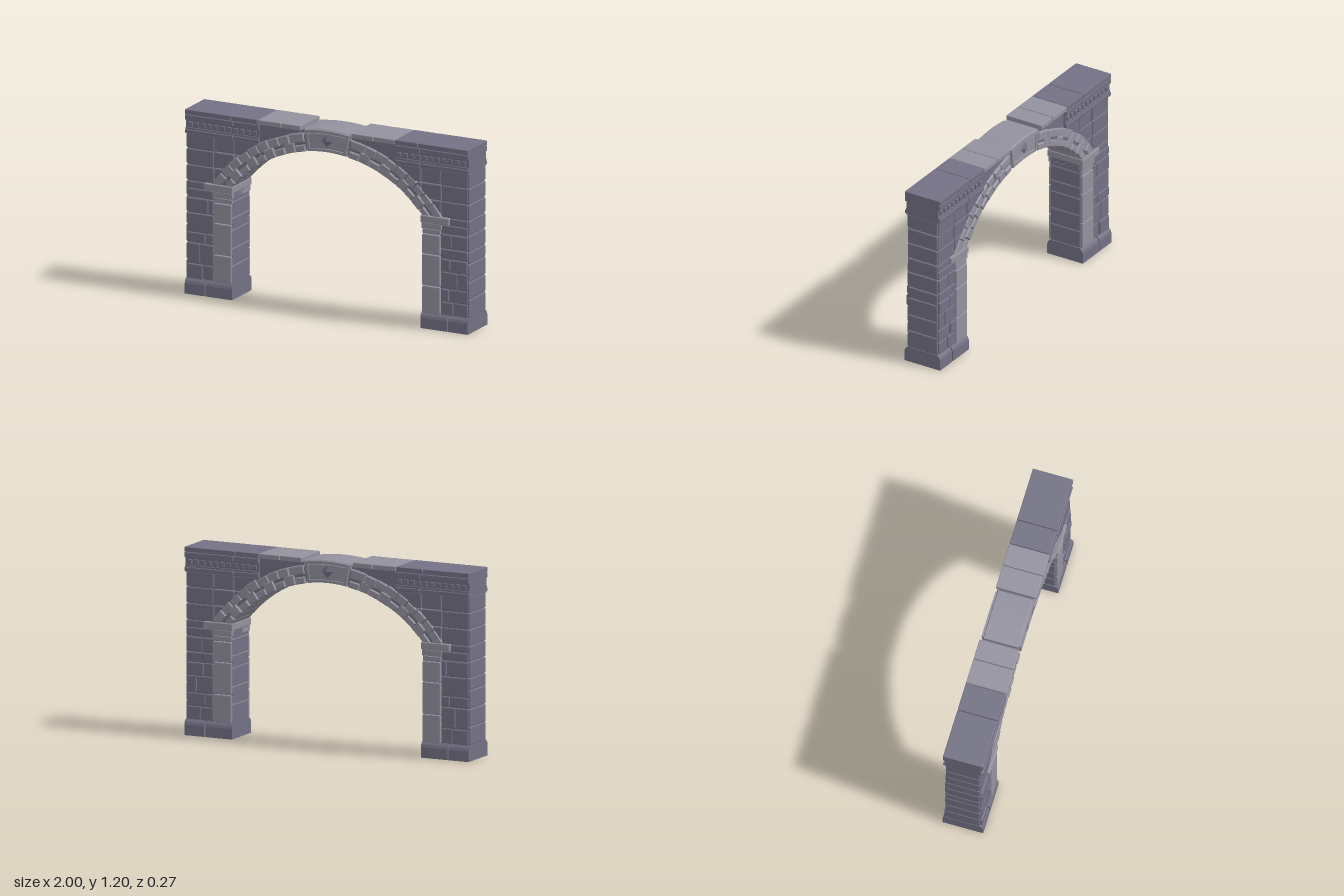
import * as THREE from 'three';
import { RoundedBoxGeometry } from 'three/addons/geometries/RoundedBoxGeometry.js';

const dark = new THREE.MeshStandardMaterial({ color: 0x737184, flatShading: true });
const light = new THREE.MeshStandardMaterial({ color: 0x93919e, flatShading: true });

// Arch circle: centre height, inner and outer radius, springing height
const CY = 0.18, RI = 0.87, RO = 0.985, SPRING = 0.735;

// Repeatable small variation
let seed = 7;
const vary = (a) => {
  seed = (seed * 16807) % 2147483647;
  return (seed / 2147483647 - 0.5) * 2 * a;
};

function add(parent, name, geometry, material) {
  const mesh = new THREE.Mesh(geometry, material);
  mesh.name = name;
  parent.add(mesh);
  return mesh;
}

// Chamfered block between two x and two y values, centred on z = 0
function block(parent, name, x0, x1, y0, y1, halfZ, material, bevel = 0.006) {
  const g = new RoundedBoxGeometry(Math.abs(x1 - x0), y1 - y0, halfZ * 2, 1, bevel);
  g.translate((x0 + x1) / 2, (y0 + y1) / 2, 0);
  return add(parent, name, g, material);
}

// Shape extruded along z, centred on z = 0, with chamfered faces
function slab(parent, name, shape, halfZ, material, bevel = 0.006) {
  const g = new THREE.ExtrudeGeometry(shape, {
    depth: 2 * (halfZ - bevel), bevelEnabled: bevel > 0, bevelSize: bevel,
    bevelOffset: -bevel, bevelThickness: bevel, bevelSegments: 1,
  });
  g.translate(0, 0, -(halfZ - bevel));
  return add(parent, name, g, material);
}

// Ring segment; angles run from vertical and stop at the springing line
function wedge(a0, a1, r0, r1, s = 1, steps = 3) {
  const pts = [];
  const arc = (r, from, to) => {
    const limit = Math.acos((SPRING - CY) / r);
    const f = Math.min(from, limit), t = Math.min(to, limit);
    for (let i = 0; i <= steps; i++) {
      const a = f + (t - f) * i / steps;
      pts.push(new THREE.Vector2(s * r * Math.sin(a), CY + r * Math.cos(a)));
    }
  };
  arc(r0, a0, a1);
  arc(r1, a1, a0);
  return new THREE.Shape(pts);
}

function pier(s) {
  const g = new THREE.Group();
  g.name = s > 0 ? 'leftPier' : 'rightPier';
  const box = (name, x0, x1, ...rest) => block(g, name, s * x0, s * x1, ...rest);

  // Plinth: two stones with a sloping top edge
  const profile = new THREE.Shape([[-0.132, 0], [0.132, 0], [0.132, 0.068], [0.126, 0.085],
    [0.112, 0.102], [-0.112, 0.102], [-0.126, 0.085], [-0.132, 0.068]].map(p => new THREE.Vector2(...p)));
  for (const [x0, x1] of [[0.665, 0.852], [0.86, 1]]) {
    const geo = new THREE.ExtrudeGeometry(profile, { depth: x1 - x0, bevelEnabled: false });
    geo.rotateY(Math.PI / 2).translate(s > 0 ? x0 : -x1, 0, 0);
    add(g, 'plinthStone', geo, dark);
  }

  // Core and through courses seen on the pier sides
  box('pierCore', 0.685, 0.985, 0.05, 0.73, 0.105, dark, 0.002);
  box('wallCore', 0.8, 0.985, 0.7, 1.06, 0.105, dark, 0.002);
  const courses = [0.1, 0.22, 0.333, 0.452, 0.53, 0.635, 0.735, 0.84, 0.945, 1.045];
  for (let i = 0; i < courses.length - 1; i++) {
    const inner = i < 6 ? 0.668 : 0.82;
    box('sideCourse', inner, 1, courses[i] + 0.002, courses[i + 1] - 0.002, 0.11, dark, 0.007);
  }

  // Irregular face stones beside the jamb
  const rows = s < 0
    ? [[0.1, 0.2, 0.88], [0.2, 0.335, 0.9], [0.335, 0.405, 0.86], [0.405, 0.53], [0.53, 0.63, 0.84], [0.63, 0.69]]
    : [[0.1, 0.19, 0.89], [0.19, 0.275, 0.86], [0.275, 0.385, 0.92], [0.385, 0.47, 0.87], [0.47, 0.535], [0.535, 0.63, 0.88], [0.63, 0.69]];
  for (const [y0, y1, split] of rows) {
    const xs = split ? [0.802, split, 0.992] : [0.802, 0.992];
    for (let i = 0; i < xs.length - 1; i++)
      box('faceStone', xs[i] + 0.002, xs[i + 1] - 0.002, y0 + 0.003, y1 - 0.003, 0.121 + vary(0.004), dark);
  }

  // Face stones above the impost, running in behind the arch ring
  const upper = [[0.69, 0.735, [0.87, 0.992]], [0.735, 0.84, [0.71, 0.8, 0.992]],
    [0.84, 0.945, [0.61, 0.66, 0.805, 0.992]], [0.945, 1.045, [0.47, 0.66, 0.8, 0.992]]];
  for (const [y0, y1, xs] of upper)
    for (let i = 0; i < xs.length - 1; i++)
      box('wallStone', xs[i] + 0.002, xs[i + 1] - 0.002, y0 + 0.002, y1 - 0.002, 0.115 + vary(0.003), dark);

  // Pale jamb stones
  for (const [y0, y1] of [[0.102, 0.277], [0.281, 0.483], [0.487, 0.615]])
    box('jambStone', 0.673, 0.799, y0, y1, 0.127, light, 0.005);

  // Stepped impost
  box('impostLower', 0.672, 0.8, 0.618, 0.649, 0.122, light, 0.004);
  box('impostMiddle', 0.668, 0.81, 0.651, 0.69, 0.127, light, 0.004);
  box('impostSlab', 0.664, 0.865, 0.69, 0.735, 0.132, light, 0.004);
  return g;
}

function cornice(s) {
  const g = new THREE.Group();
  g.name = s > 0 ? 'leftCornice' : 'rightCornice';
  const box = (name, x0, x1, ...rest) => block(g, name, s * x0, s * x1, ...rest);

  box('corniceCore', 0.48, 1, 1.04, 1.175, 0.116, dark, 0.001);
  for (const [x0, x1] of [[0.48, 0.657], [0.661, 1]]) {
    box('lowerBand', x0, x1, 1.045, 1.07, 0.13, dark, 0.004);
    box('dentilRail', x0, x1, 1.07, 1.083, 0.123, dark, 0.002);
    box('upperBand', x0, x1, 1.132, 1.166, 0.13, dark, 0.004);
  }
  for (let i = 0; i < 11; i++) {
    const x = 0.51 + i * 0.0455;
    box('dentil', x - 0.014, x + 0.014, 1.09, 1.121, 0.126, dark, 0.003);
  }

  // Coping slabs, paler towards the keystone
  const joints = s > 0 ? [1, 0.645, 0.48, 0.33, 0.175] : [1, 0.675, 0.487, 0.32, 0.183];
  for (let i = 0; i < 4; i++)
    box('copingSlab', joints[i + 1] + 0.002, joints[i] - (i ? 0.002 : 0), 1.168, 1.2, 0.131, i < 2 ? dark : light, 0.004);
  return g;
}

function archSide(s) {
  const g = new THREE.Group();
  g.name = s > 0 ? 'leftArch' : 'rightArch';
  slab(g, 'archCore', wedge(0.12, 1, RI + 0.01, RO - 0.008, s, 12), 0.112, dark, 0);

  // Two rings of voussoirs with staggered joints
  const n = 9, a0 = 0.172, step = (0.92 - a0) / n, gap = 0.002;
  for (let i = 0; i < n; i++) {
    const from = a0 + i * step, to = i === n - 1 ? 1.1 : from + step;
    const mid = 0.927 + (i % 2 ? 0.012 : -0.012);
    slab(g, 'innerVoussoir', wedge(from + gap, to - gap, RI, mid - 0.002, s), 0.127 + vary(0.004), light);
    const shift = step * 0.35;
    const of = i ? from + shift : from, ot = i === n - 1 ? 1.1 : to + shift;
    slab(g, 'outerVoussoir', wedge(of + gap, ot - gap, 0.93, RO + vary(0.006), s), 0.123 + vary(0.004), light);
  }

  // Recessed spandrel between arch and coping
  const pts = [[0.5, 1.02], [0.5, 1.17], [0.17, 1.17]];
  for (let i = 0; i <= 6; i++) {
    const x = 0.17 + i * 0.045;
    pts.push([x, CY + Math.sqrt(0.95 * 0.95 - x * x)]);
  }
  slab(g, 'spandrel', new THREE.Shape(pts.map(([x, y]) => new THREE.Vector2(s * x, y))), 0.108, dark, 0);
  return g;
}

function keystone() {
  const g = new THREE.Group();
  g.name = 'keystone';
  slab(g, 'keystoneBody', wedge(-0.164, 0.164, RI, 1.016, 1, 8), 0.115, light);
  slab(g, 'keystonePanel', wedge(-0.14, 0.14, 0.895, 0.99, 1, 8), 0.121, light, 0.004);

  // Raised border on both faces
  const frame = wedge(-0.155, 0.155, RI + 0.004, 1.01, 1, 8);
  frame.holes.push(new THREE.Path(wedge(-0.136, 0.136, 0.891, 0.992, 1, 8).getPoints()));
  for (const s of [-1, 1]) {
    const geo = new THREE.ExtrudeGeometry(frame, { depth: 0.02, bevelEnabled: false });
    add(g, 'keystoneBorder', geo, light).position.z = s * 0.117 - 0.01;
    const diamond = add(g, 'diamondBoss', new THREE.OctahedronGeometry(0.043), dark);
    diamond.scale.z = 0.35;
    diamond.position.set(0, 1.125, s * 0.12);
  }
  return g;
}

export function createModel() {
  const model = new THREE.Group();
  model.name = 'stoneArch';
  for (const s of [-1, 1]) model.add(pier(s), cornice(s), archSide(s));
  model.add(keystone());
  return model;
}
